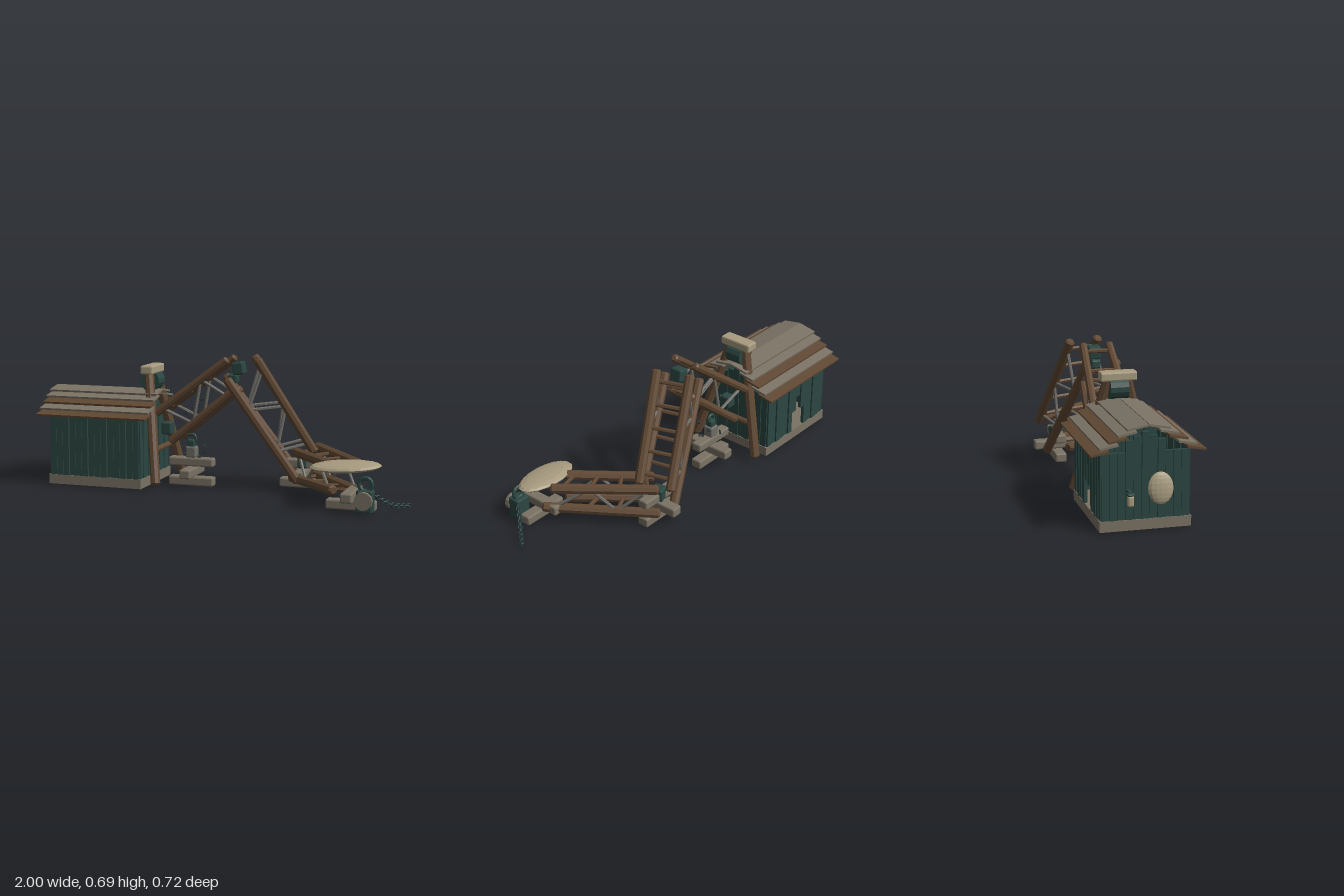
import * as THREE from 'three';
import { RoundedBoxGeometry } from 'three/addons/geometries/RoundedBoxGeometry.js';

const mat = (name, color) => {
  const m = new THREE.MeshStandardMaterial({ color, flatShading: true });
  m.name = name;
  return m;
};

export function createModel() {
  const root = new THREE.Group();
  root.name = 'collapsedCrane';
  const brown = mat('brownTimber', 0x604833);
  const grey = mat('weatheredGrey', 0x7a7264);
  const teal = mat('darkTeal', 0x2b4641);
  const cream = mat('paleCream', 0xa89c80);
  const steel = mat('braceGrey', 0x6e6c66);
  const dark = mat('chainDark', 0x24393a);
  const V = (p) => new THREE.Vector3(...p);

  const add = (geo, m, name, pos = [0, 0, 0], rot = [0, 0, 0], parent = root) => {
    const mesh = new THREE.Mesh(geo, m);
    mesh.name = name;
    mesh.position.set(...pos);
    mesh.rotation.set(...rot);
    parent.add(mesh);
    return mesh;
  };
  const box = (name, m, size, pos, rot, parent) =>
    add(new THREE.BoxGeometry(...size), m, name, pos, rot, parent);
  const block = (name, m, size, pos, rot) =>
    add(new RoundedBoxGeometry(...size, 1, 0.008), m, name, pos, rot);

  // Log or rod between two points, with chamfered ends
  const rod = (name, m, a, b, r, parent = root, sides = 8) => {
    const p = V(a), q = V(b), h = p.distanceTo(q) / 2, c = r * 0.35;
    const profile = [[0, -h], [r - c, -h], [r, -h + c], [r, h - c], [r - c, h], [0, h]];
    const geo = new THREE.LatheGeometry(profile.map((s) => new THREE.Vector2(...s)), sides);
    const mesh = add(geo, m, name, p.clone().add(q).multiplyScalar(0.5).toArray(), undefined, parent);
    mesh.quaternion.setFromUnitVectors(new THREE.Vector3(0, 1, 0), q.sub(p).normalize());
    return mesh;
  };

  // Hut: floor slab and plank walls
  const zc = -0.09;
  box('hutFloor', grey, [0.52, 0.05, 0.43], [-0.675, 0.03, zc]);
  const hut = new THREE.Group();
  hut.name = 'hutWalls';
  root.add(hut);
  const n = 14, w = 0.5 / n;
  for (let i = 0; i < n; i++) {
    const x = -0.925 + w * (i + 0.5);
    const bump = (i % 3) * 0.003;
    box('frontPlank', teal, [w - 0.003, 0.32, 0.016], [x, 0.215, 0.112 + bump], undefined, hut);
    // broken opening in the back wall
    const low = i === 6 ? 0.25 : i === 5 || i === 7 ? 0.17 : 0.055;
    box('backPlank', teal, [w - 0.003, 0.375 - low, 0.016], [x, (0.375 + low) / 2, -0.292 - bump], undefined, hut);
  }
  // End walls: level outer planks, raised planks under the ridge
  for (const x of [-0.922, -0.428]) {
    for (let i = 0; i < 11; i++) {
      const d = Math.abs(i - 5), top = d > 2 ? 0.368 : 0.46 - d * 0.018;
      box('gablePlank', teal, [0.016 + (i % 2) * 0.006, top - 0.055, 0.0352],
        [x, (top + 0.055) / 2, zc + (i - 5) * 0.0372], undefined, hut);
    }
  }

  // Overlapping roof boards
  const roof = new THREE.Group();
  roof.name = 'roof';
  root.add(roof);
  for (const s of [-1, 1]) {
    for (let i = 0; i < 5; i++) {
      const outer = 0.268 - 0.042 * i, width = i === 4 ? 0.1 : 0.088;
      const m = i === 0 || i === 2 ? brown : grey;
      box('roofBoard', m, [0.61, 0.01, width], [-0.675, 0.383 + 0.0275 * i, zc + s * (outer - width / 2)],
        [s * 0.18, 0, 0], roof);
    }
  }

  // Shield and lantern on the far gable
  const shield = add(new THREE.SphereGeometry(1, 14, 10), cream, 'gableShield', [-0.965, 0.205, -0.03], [0, 0, -0.1]);
  shield.scale.set(0.022, 0.075, 0.06);
  box('lanternBracket', teal, [0.07, 0.012, 0.015], [-0.955, 0.195, -0.175]);
  block('lantern', cream, [0.03, 0.05, 0.03], [-0.983, 0.16, -0.175]);
  block('lanternCap', teal, [0.034, 0.014, 0.036], [-0.983, 0.19, -0.175]);

  // A-frame mast with winch drum and cap
  for (const s of [-1, 1]) {
    rod('mastLeg', brown, [-0.43, 0.6, zc + s * 0.045], [-0.338, 0.03, zc + s * 0.2], 0.025);
  }
  block('mastCap', cream, [0.068, 0.045, 0.18], [-0.43, 0.61, zc]);
  add(new THREE.CylinderGeometry(0.054, 0.054, 0.09, 14), teal, 'winchDrum', [-0.43, 0.55, zc], [Math.PI / 2, 0, 0]);
  rod('mastTie', brown, [-0.37, 0.2, -0.23], [-0.37, 0.2, 0.05], 0.015);
  block('boomFoot', teal, [0.055, 0.065, 0.06], [-0.345, 0.3, zc]);

  // Four-chord truss: chords in order upper near, upper far, lower near, lower far
  const truss = (name, chords, r, bays) => {
    const g = new THREE.Group();
    g.name = name;
    root.add(g);
    chords.forEach(([a, b]) => rod('chord', brown, a, b, r, g));
    const at = (k, t) => V(chords[k][0]).lerp(V(chords[k][1]), t).toArray();
    for (let i = 0; i <= bays; i++) {
      const t = 0.1 + (0.8 * i) / bays;
      rod('upperRung', brown, at(0, t), at(1, t), 0.0105, g, 6);
      rod('lowerRung', brown, at(2, t), at(3, t), 0.0105, g, 6);
      if (i === bays) break;
      const t2 = t + 0.8 / bays;
      for (const [u, l] of [[0, 2], [1, 3]]) {
        const [p, q] = i % 2 ? [l, u] : [u, l];
        rod('brace', steel, at(p, t), at(q, t2), 0.0085, g, 6);
      }
    }
  };
  truss('lowerBoom', [
    [[-0.38, 0.385, -0.005], [0.01, 0.68, -0.022]],
    [[-0.38, 0.385, -0.185], [0.01, 0.68, -0.155]],
    [[-0.3, 0.24, -0.01], [0.04, 0.52, -0.022]],
    [[-0.3, 0.24, -0.18], [0.04, 0.52, -0.155]],
  ], 0.021, 3);
  truss('middleBoom', [
    [[0.16, 0.685, -0.04], [0.435, 0.2, -0.16]],
    [[0.095, 0.685, -0.2], [0.38, 0.195, -0.315]],
    [[0.02, 0.585, 0.025], [0.365, 0.05, -0.1]],
    [[-0.045, 0.585, -0.145], [0.325, 0.045, -0.285]],
  ], 0.025, 4);
  truss('tipBoom', [
    [[0.33, 0.195, -0.17], [0.61, 0.2, 0.17]],
    [[0.42, 0.21, -0.275], [0.75, 0.205, 0.14]],
    [[0.31, 0.06, -0.17], [0.62, 0.075, 0.17]],
    [[0.41, 0.065, -0.275], [0.76, 0.08, 0.19]],
  ], 0.026, 3);

  // Hinge blocks at the broken joints
  block('topHinge', teal, [0.06, 0.065, 0.065], [0.05, 0.63, zc], [0, 0, 0.15]);
  block('lowerHinge', teal, [0.05, 0.045, 0.05], [0.02, 0.575, zc]);
  block('tipHinge', teal, [0.065, 0.065, 0.065], [0.36, 0.138, -0.222], [0, 0.3, 0]);

  // Timber cribbing under the booms
  for (const [x, z, high] of [[-0.21, zc, 1], [0.36, -0.222, 1], [0.725, 0.232, 0]]) {
    block('cribBase', grey, [0.245, 0.048, 0.06], [x, 0.026, z]);
    block('cribCross', grey, [0.058, 0.048, 0.245], [x, 0.077, z]);
    if (high) block('cribTop', grey, [0.245, 0.046, 0.055], [x, 0.128, z]);
  }

  // Pulley block on the first crib
  block('pulleyCheek', steel, [0.055, 0.06, 0.055], [-0.21, 0.18, zc]);
  block('pulleyBody', teal, [0.04, 0.04, 0.04], [-0.21, 0.225, zc]);
  add(new THREE.TorusGeometry(0.022, 0.008, 6, 14), teal, 'pulleyRing', [-0.21, 0.25, zc]);

  // Fallen dish at the boom tip
  const dish = add(new THREE.SphereGeometry(1, 18, 8), cream, 'dish', [0.693, 0.21, 0.226], [0.1, 0.1, 0.04]);
  dish.scale.set(0.176, 0.024, 0.093);

  // Hook block with ring and wheel
  block('hookBlock', teal, [0.08, 0.11, 0.068], [0.81, 0.062, 0.304]);
  add(new THREE.TorusGeometry(0.032, 0.01, 6, 16), teal, 'hookRing', [0.81, 0.142, 0.304]);
  add(new THREE.CylinderGeometry(0.044, 0.044, 0.025, 12), grey, 'hookWheel', [0.81, 0.07, 0.348], [Math.PI / 2, 0, 0]);

  // Chain trailing to the ground
  const linkGeo = new THREE.TorusGeometry(0.0095, 0.0035, 5, 10);
  linkGeo.scale(1.35, 1, 1);
  const path = new THREE.CatmullRomCurve3(
    [[0.845, 0.09, 0.275], [0.88, 0.055, 0.23], [0.925, 0.025, 0.18], [0.985, 0.014, 0.11]].map(V));
  for (let i = 0; i < 15; i++) {
    const link = add(linkGeo, dark, 'chainLink', path.getPointAt(i / 14).toArray());
    link.quaternion.setFromUnitVectors(new THREE.Vector3(1, 0, 0), path.getTangentAt(i / 14));
    link.rotateX(i % 2 ? Math.PI / 2 : 0);
  }
  // Loose broken links hanging below the lower boom
  [[-0.255, 0.38], [-0.15, 0.46], [-0.14, 0.25], [-0.155, 0.215], [-0.14, 0.18], [-0.16, 0.16], [-0.25, 0.16]]
    .forEach(([x, y], i) => {
      const link = add(linkGeo, dark, 'looseLink', [x, y, zc + (i % 3 - 1) * 0.03], [i, i * 0.7, 0.3]);
      link.scale.setScalar(0.75);
    });

  return root;
}
